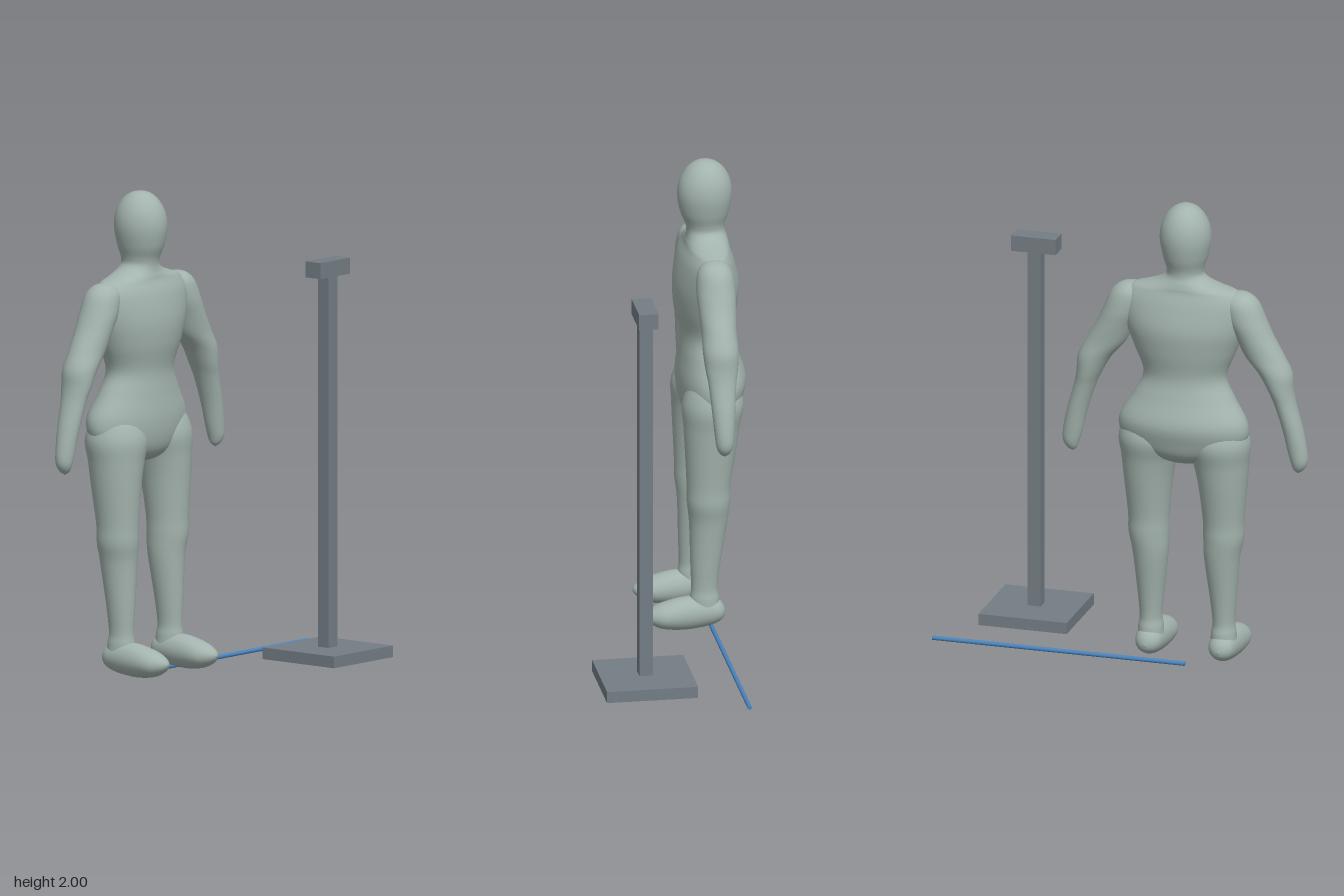
import * as THREE from 'three';

const CX = -0.275; // the figure's centre line

// Smooth loft through sections [y, centreX, radiusX, centreZ, radiusZ], listed from the top down.
function loft(sections, side = 1, steps = 6, around = 40) {
  const centres = new THREE.CatmullRomCurve3(
    sections.map(([y, x, , z]) => new THREE.Vector3(side * x, y, z)), false, 'catmullrom', 0.5);
  const radii = new THREE.CatmullRomCurve3(
    sections.map(([, , rx, , rz]) => new THREE.Vector3(rx, 0, rz)), false, 'catmullrom', 0.5);
  const rows = (sections.length - 1) * steps;
  const pos = [], index = [];
  for (let i = 0; i <= rows; i++) {
    const c = centres.getPoint(i / rows), r = radii.getPoint(i / rows);
    for (let j = 0; j < around; j++) {
      const a = (j / around) * Math.PI * 2;
      pos.push(c.x + Math.max(r.x, 0) * Math.cos(a), c.y, c.z + Math.max(r.z, 0) * Math.sin(a));
      if (i === rows) continue;
      const p = i * around + j, q = i * around + (j + 1) % around;
      index.push(p, q, p + around, q, q + around, p + around);
    }
  }
  const geo = new THREE.BufferGeometry();
  geo.setAttribute('position', new THREE.Float32BufferAttribute(pos, 3));
  geo.setIndex(index);
  geo.computeVertexNormals();
  return geo;
}

// Head, neck, trunk and hips
const TRUNK = [
  [2.0, 0, 0, -0.195, 0],
  [1.99, 0, 0.039, -0.195, 0.042],
  [1.96, 0, 0.073, -0.195, 0.079],
  [1.91, 0, 0.098, -0.194, 0.105],
  [1.85, 0, 0.105, -0.193, 0.112],
  [1.78, 0, 0.093, -0.193, 0.1],
  [1.73, 0, 0.078, -0.195, 0.082],
  [1.7, 0, 0.08, -0.197, 0.078],
  [1.675, 0, 0.115, -0.2, 0.083],
  [1.655, 0, 0.175, -0.2, 0.088],
  [1.635, 0, 0.235, -0.199, 0.092],
  [1.58, 0, 0.268, -0.197, 0.112],
  [1.48, 0, 0.252, -0.198, 0.132],
  [1.38, 0, 0.215, -0.196, 0.126],
  [1.27, 0, 0.175, -0.198, 0.108],
  [1.18, 0, 0.213, -0.206, 0.12],
  [1.08, 0, 0.27, -0.217, 0.14],
  [1.0, 0, 0.262, -0.212, 0.13],
  [0.94, 0, 0.19, -0.208, 0.108],
  [0.9, 0, 0.09, -0.2, 0.06],
  [0.885, 0, 0, -0.2, 0],
];

const ARM = [
  [1.645, 0.225, 0, -0.197, 0],
  [1.635, 0.232, 0.042, -0.197, 0.04],
  [1.6, 0.238, 0.075, -0.197, 0.07],
  [1.53, 0.262, 0.082, -0.197, 0.08],
  [1.46, 0.296, 0.08, -0.197, 0.077],
  [1.38, 0.338, 0.083, -0.197, 0.072],
  [1.31, 0.384, 0.07, -0.197, 0.073],
  [1.24, 0.407, 0.053, -0.197, 0.067],
  [1.18, 0.426, 0.045, -0.197, 0.057],
  [1.077, 0.457, 0.043, -0.197, 0.048],
  [0.98, 0.478, 0.041, -0.197, 0.04],
  [0.93, 0.485, 0.034, -0.197, 0.034],
  [0.9, 0.482, 0.02, -0.197, 0.02],
  [0.885, 0.48, 0, -0.197, 0],
];

const LEG = [
  [1.12, 0.14, 0, -0.205, 0],
  [1.09, 0.14, 0.09, -0.205, 0.08],
  [1.0, 0.14, 0.135, -0.205, 0.125],
  [0.9, 0.152, 0.115, -0.197, 0.115],
  [0.8, 0.158, 0.1, -0.192, 0.105],
  [0.65, 0.159, 0.085, -0.184, 0.09],
  [0.57, 0.159, 0.083, -0.183, 0.088],
  [0.48, 0.152, 0.073, -0.183, 0.078],
  [0.3, 0.154, 0.054, -0.171, 0.061],
  [0.2, 0.155, 0.046, -0.167, 0.054],
  [0.15, 0.155, 0.052, -0.168, 0.06],
  [0.08, 0.155, 0.05, -0.17, 0.055],
  [0.06, 0.155, 0, -0.17, 0],
];

// Drawn along y from toe to heel, then tipped forward so that y becomes z
const FOOT = [
  [0.08, 0.156, 0, -0.088, 0],
  [0.07, 0.156, 0.022, -0.087, 0.018],
  [0.045, 0.156, 0.044, -0.085, 0.037],
  [0.0, 0.156, 0.064, -0.086, 0.055],
  [-0.08, 0.156, 0.066, -0.092, 0.068],
  [-0.17, 0.156, 0.06, -0.098, 0.065],
  [-0.22, 0.156, 0.05, -0.098, 0.05],
  [-0.245, 0.156, 0.028, -0.095, 0.028],
  [-0.255, 0.156, 0, -0.092, 0],
];

export function createModel() {
  const model = new THREE.Group();
  const material = (name, color) => {
    const m = new THREE.MeshStandardMaterial({ color });
    m.name = name;
    return m;
  };
  const skin = material('pale grey green', 0xa3b3ad);
  const metal = material('slate grey', 0x737d84);
  const blue = material('blue', 0x4a84bd);

  const add = (parent, name, geo, mat, x = 0, y = 0, z = 0) => {
    const mesh = new THREE.Mesh(geo, mat);
    mesh.name = name;
    mesh.position.set(x, y, z);
    parent.add(mesh);
  };

  // Standing figure
  const figure = new THREE.Group();
  figure.name = 'figure';
  figure.position.x = CX;
  add(figure, 'headAndTrunk', loft(TRUNK), skin);
  for (const [side, label] of [[1, 'left'], [-1, 'right']]) {
    add(figure, label + 'Arm', loft(ARM, side), skin);
    add(figure, label + 'Leg', loft(LEG, side), skin);
    add(figure, label + 'Foot', loft(FOOT, side).rotateX(Math.PI / 2), skin);
  }
  model.add(figure);

  // Stand: square foot plate, post and head block
  const stand = new THREE.Group();
  stand.name = 'stand';
  stand.position.set(0.475, 0, 0.175);
  add(stand, 'standBase', new THREE.BoxGeometry(0.376, 0.048, 0.376), metal, 0, 0.041, 0);
  add(stand, 'standPost', new THREE.BoxGeometry(0.056, 1.54, 0.056), metal, 0, 0.83, 0);
  add(stand, 'standHead', new THREE.BoxGeometry(0.19, 0.066, 0.08), metal, 0, 1.627, 0);
  model.add(stand);

  // Thin rod on the floor, from the figure outwards
  const rod = new THREE.CylinderGeometry(0.009, 0.009, 1.075, 16).rotateZ(Math.PI / 2);
  add(model, 'floorRod', rod, blue, 0.2625, 0.013, -0.203);

  return model;
}
